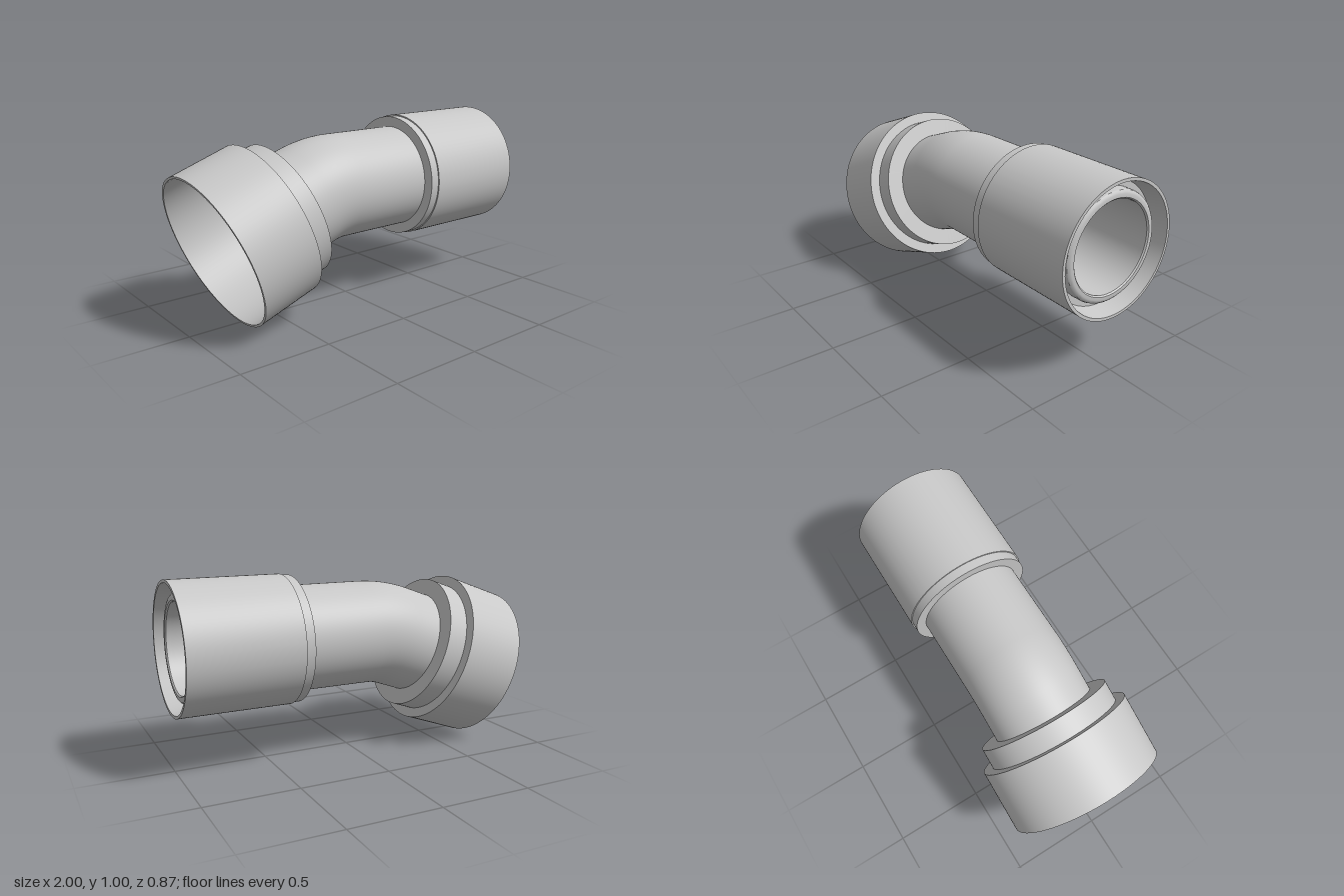
import * as THREE from 'three';
import { toCreasedNormals } from 'three/addons/utils/BufferGeometryUtils.js';

const SIDES = 96;
const TILT = THREE.MathUtils.degToRad(20);
const AXIS = new THREE.Vector3(Math.cos(TILT), Math.sin(TILT), 0);
const MOUTH = new THREE.Vector3(-0.852, 0.409, 0); // centre of the wide opening
const AXIS_Y = 0.65; // height of the straight run

export function createModel() {
  const group = new THREE.Group();
  const grey = new THREE.MeshStandardMaterial({ color: 0xc8c8c8, side: THREE.DoubleSide });
  grey.name = 'lightGrey';

  function add(name, geometry) {
    const mesh = new THREE.Mesh(geometry, grey);
    mesh.name = name;
    group.add(mesh);
    return mesh;
  }

  // Turned part: profile pairs are [distance along axis, radius]
  function turned(name, profile, angle) {
    const points = profile.map(([s, r]) => new THREE.Vector2(r, s));
    const geometry = toCreasedNormals(new THREE.LatheGeometry(points, SIDES), 0.45);
    geometry.rotateZ(angle - Math.PI / 2);
    return add(name, geometry);
  }

  // Tilted stepped cup, open at its wide mouth
  turned('steppedSocket', [
    [0, 0.422], [0, 0.435], [0.35, 0.435], [0.35, 0.38], [0.465, 0.38], [0.465, 0.28],
    [0.465, 0.24], [0.43, 0.24], [0.43, 0.36], [0.33, 0.36], [0.33, 0.422], [0, 0.422],
  ], TILT).position.copy(MOUTH);

  // Straight sleeve with a thin rim around a recessed, rounded inner lip
  turned('straightSleeve', [
    [0.34, 0.28], [0.34, 0.345], [0.39, 0.345], [0.39, 0.352], [1, 0.352], [1, 0.336],
    [0.9, 0.318], [0.9, 0.285], [0.94, 0.285], [0.952, 0.281], [0.959, 0.273],
    [0.962, 0.263], [0.962, 0.247], [0.955, 0.24], [0.93, 0.24],
  ], 0).position.y = AXIS_Y;

  // Elbow centreline: tilted run, bend, level run
  const along = (s) => MOUTH.clone().addScaledVector(AXIS, s);
  const corner = along((AXIS_Y - MOUTH.y) / AXIS.y);
  const bendIn = corner.clone().addScaledVector(AXIS, -0.1);
  const bendOut = corner.clone().setX(corner.x + 0.1);
  function centreline(startS, endX) {
    const path = new THREE.CurvePath();
    path.add(new THREE.LineCurve3(along(startS), bendIn));
    path.add(new THREE.QuadraticBezierCurve3(bendIn, corner, bendOut));
    path.add(new THREE.LineCurve3(bendOut, new THREE.Vector3(endX, AXIS_Y, 0)));
    return path;
  }
  add('elbowPipe', new THREE.TubeGeometry(centreline(0.45, 0.36), 80, 0.288, SIDES));
  add('elbowBore', new THREE.TubeGeometry(centreline(0.43, 0.94), 100, 0.24, SIDES));

  return group;
}
